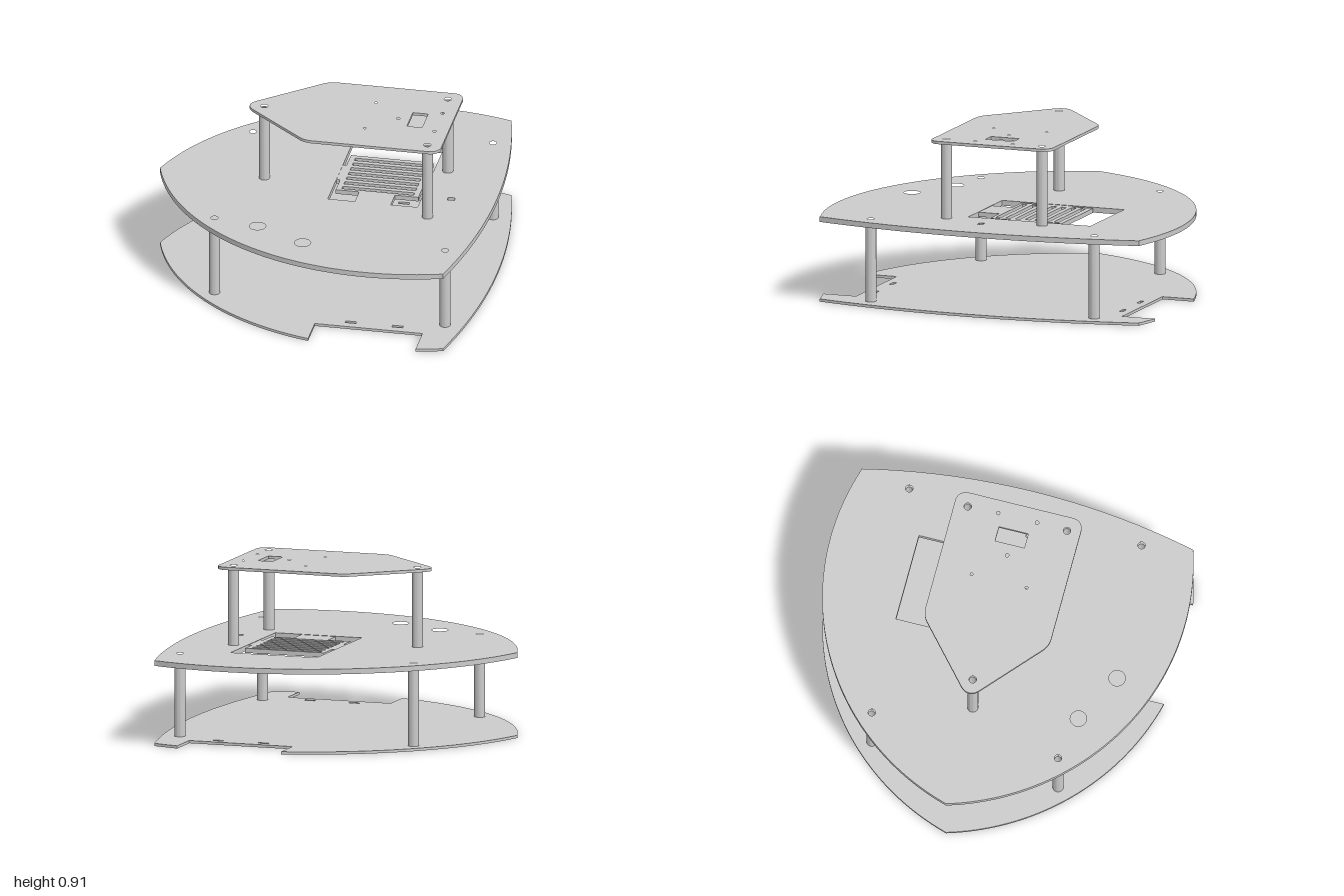
import * as THREE from 'three';
import { toCreasedNormals } from 'three/addons/utils/BufferGeometryUtils.js';

const material = new THREE.MeshStandardMaterial({ color: 0xcccccc });

// Outlines are drawn in plan: shape x = model x, shape y = model z
function slab(name, shape, bottom, top, curveSegments) {
  const g = new THREE.ExtrudeGeometry(shape, { depth: top - bottom, bevelEnabled: false, curveSegments });
  g.rotateX(Math.PI / 2).translate(0, top, 0);
  const mesh = new THREE.Mesh(toCreasedNormals(g, 0.6), material);
  mesh.name = name;
  return mesh;
}

function round(x, z, r) {
  return new THREE.Path().absarc(x, z, r, 0, Math.PI * 2, true);
}

function rect(x0, x1, z0, z1, Type = THREE.Path) {
  return new Type([[x0, z0], [x1, z0], [x1, z1], [x0, z1]].map(p => new THREE.Vector2(...p)));
}

// Pointed hull outline: two large side arcs and a shallow rear arc
function hull(notched) {
  const R = 1.398, cx = 0.4, cz = 0.398, rearR = 4.07;
  const angle = x => Math.acos((x - cx) / R);
  const s = new THREE.Shape();
  const side = (sign, xa, xb) => s.absarc(cx, -sign * cz, R, sign * angle(xa), sign * angle(xb), true);
  const rear = Math.asin(0.937 / rearR);
  if (notched) {
    side(1, -0.94, 0.08);
    s.lineTo(0.08, 0.78).lineTo(0.68, 0.78);
    side(1, 0.68, 0.82);
  } else side(1, -0.94, 0.82);
  s.absarc(0.935 - rearR, 0, rearR, rear, -rear, true);
  if (notched) {
    side(-1, 0.82, 0.68);
    s.lineTo(0.68, -0.78).lineTo(0.08, -0.78);
    side(-1, 0.08, -0.94);
  } else side(-1, 0.82, -0.94);
  return s;
}

const lowerPosts = [[-0.53, 0.525], [-0.53, -0.525], [0.78, 0.655], [0.78, -0.655]];
const upperPosts = [[-0.36, 0], [0.605, 0.28], [0.605, -0.28]];
const bore = 0.02;

function post(name, x, z, bottom, top) {
  const ring = new THREE.Shape().absarc(x, z, 0.03, 0, Math.PI * 2, false);
  ring.holes.push(round(x, z, bore));
  return slab(name, ring, bottom, top, 14);
}

// Deck with two wheel notches and motor bracket slots
function bottomDeck() {
  const s = hull(true);
  for (const [x, z] of lowerPosts) s.holes.push(round(x, z, bore));
  for (const sign of [1, -1]) {
    for (const x of [0.24, 0.5]) {
      const a = sign * 0.715, b = sign * 0.735;
      s.holes.push(rect(x, x + 0.06, Math.min(a, b), Math.max(a, b)));
    }
  }
  return slab('bottomDeck', s, 0, 0.015, 32);
}

// Deck with a large window and cable holes
function middleDeck() {
  const s = hull(false);
  for (const [x, z] of [...lowerPosts, ...upperPosts]) s.holes.push(round(x, z, bore));
  s.holes.push(round(-0.28, 0.575, 0.045), round(0, 0.72, 0.045));
  s.holes.push(rect(0.03, 0.53, -0.535, 0.18), rect(0.67, 0.71, 0.03, 0.06));
  return slab('middleDeck', s, 0.443, 0.472, 32);
}

// Slatted tray held in the window
function tray() {
  const s = rect(0.05, 0.51, -0.36, 0.06, THREE.Shape);
  for (let i = 0; i < 7; i++) {
    const z = -0.33 + i * 0.057;
    s.holes.push(rect(0.08, 0.48, z, z + 0.028));
  }
  const group = new THREE.Group();
  group.name = 'slattedTray';
  group.add(slab('slats', s, 0.445, 0.47, 4));
  // Tabs joining the tray to the window edges
  for (const [x0, x1, z0, z1] of [[0.03, 0.05, -0.24, -0.06], [0.51, 0.53, -0.24, -0.06], [0.18, 0.38, 0.06, 0.18]])
    group.add(slab('trayTab', rect(x0, x1, z0, z1, THREE.Shape), 0.445, 0.47, 4));
  return group;
}

// House-shaped deck with rounded corners
function topDeck() {
  const s = new THREE.Shape();
  s.moveTo(-0.415, 0.05);
  s.lineTo(-0.1, 0.325).quadraticCurveTo(-0.066, 0.355, -0.02, 0.355);
  s.lineTo(0.625, 0.355).absarc(0.625, 0.295, 0.06, Math.PI / 2, 0, true);
  s.lineTo(0.685, -0.295).absarc(0.625, -0.295, 0.06, 0, -Math.PI / 2, true);
  s.lineTo(-0.02, -0.355).quadraticCurveTo(-0.066, -0.355, -0.1, -0.325);
  s.lineTo(-0.415, -0.05).quadraticCurveTo(-0.465, 0, -0.415, 0.05);
  for (const [x, z] of upperPosts) s.holes.push(round(x, z, bore));
  for (const z of [0.11, -0.11]) s.holes.push(round(0.61, z, 0.01));
  for (const z of [0.15, -0.16]) s.holes.push(round(0.23, z, 0.008));
  s.holes.push(round(0.385, 0, 0.01), rect(0.45, 0.535, -0.085, 0.08));
  return slab('topDeck', s, 0.895, 0.911, 16);
}

export function createModel() {
  const model = new THREE.Group();
  model.name = 'threeDeckChassis';
  model.add(bottomDeck(), middleDeck(), tray(), topDeck());
  for (const [x, z] of lowerPosts) model.add(post('lowerPost', x, z, 0.015, 0.443));
  for (const [x, z] of upperPosts) model.add(post('upperPost', x, z, 0.472, 0.895));
  return model;
}
